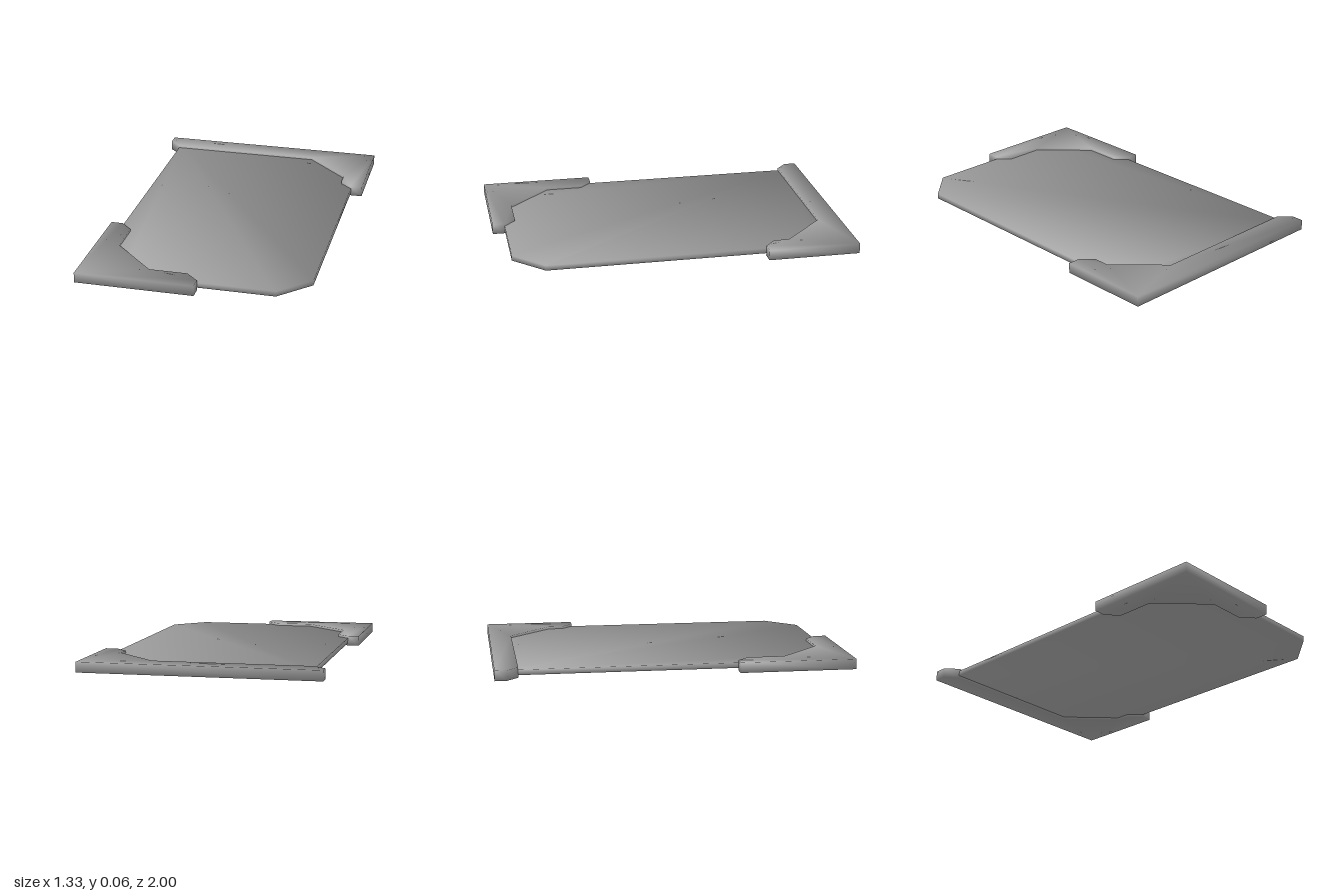
import * as THREE from 'three';

const material = new THREE.MeshStandardMaterial({ color: 0x9c9c9c });

// Rounded-looking shading: each shared corner averages its faces, weighted by corner angle
function softenNormals(geometry) {
  const position = geometry.attributes.position;
  const index = geometry.index.array;
  const sums = Array.from({ length: position.count }, () => new THREE.Vector3());
  const point = (i) => new THREE.Vector3().fromBufferAttribute(position, i);
  for (let f = 0; f < index.length; f += 3) {
    const ids = [index[f], index[f + 1], index[f + 2]];
    const corners = ids.map(point);
    const normal = new THREE.Triangle(...corners).getNormal(new THREE.Vector3());
    ids.forEach((id, k) => {
      const toNext = corners[(k + 1) % 3].clone().sub(corners[k]);
      const toLast = corners[(k + 2) % 3].clone().sub(corners[k]);
      sums[id].addScaledVector(normal, toNext.angleTo(toLast));
    });
  }
  const normals = sums.flatMap((n) => n.normalize().toArray());
  geometry.setAttribute('normal', new THREE.Float32BufferAttribute(normals, 3));
}

// Flat plate from an [x, z] outline, between heights y0 and y1
function plate(name, outline, y0, y1, convex = false) {
  const n = outline.length;
  const positions = [y0, y1].flatMap((y) => outline.flatMap(([x, z]) => [x, y, z]));
  const triangles = convex
    ? outline.slice(2).map((_, i) => [0, i + 1, i + 2])
    : THREE.ShapeUtils.triangulateShape(outline.map(([x, z]) => new THREE.Vector2(x, z)), []);
  const index = [];
  // Underside and top
  for (const [a, b, c] of triangles) index.push(a, b, c, c + n, b + n, a + n);
  // Rim
  for (let i = 0; i < n; i++) {
    const j = (i + 1) % n;
    index.push(i + n, j + n, i, j + n, j, i);
  }
  const geometry = new THREE.BufferGeometry();
  geometry.setAttribute('position', new THREE.Float32BufferAttribute(positions, 3));
  geometry.setIndex(index);
  softenNormals(geometry);
  const mesh = new THREE.Mesh(geometry, material);
  mesh.name = name;
  return mesh;
}

export function createModel() {
  const group = new THREE.Group();
  group.name = 'framedPanel';

  // Thin panel with clipped corners
  group.add(plate('panel', [
    [-0.6, -0.93], [0.43, -0.93], [0.6, -0.76], [0.6, 0.76],
    [0.43, 0.93], [-0.43, 0.93], [-0.6, 0.76],
  ], 0.014, 0.044, true));

  // Long bracket along the back edge, wrapping the back left corner
  group.add(plate('backBracket', [
    [-0.667, -1], [0.667, -1], [0.667, -0.477], [0.597, -0.477], [0.53, -0.54],
    [0.53, -0.625], [0.283, -0.87], [-0.6, -0.87], [-0.667, -0.933],
  ], 0, 0.058));

  // Short bracket wrapping the front right corner
  group.add(plate('frontBracket', [
    [-0.667, 0.345], [-0.6, 0.345], [-0.533, 0.41], [-0.533, 0.62], [-0.285, 0.865],
    [-0.07, 0.865], [0, 0.93], [0, 1], [-0.667, 1],
  ], 0, 0.058));

  return group;
}
